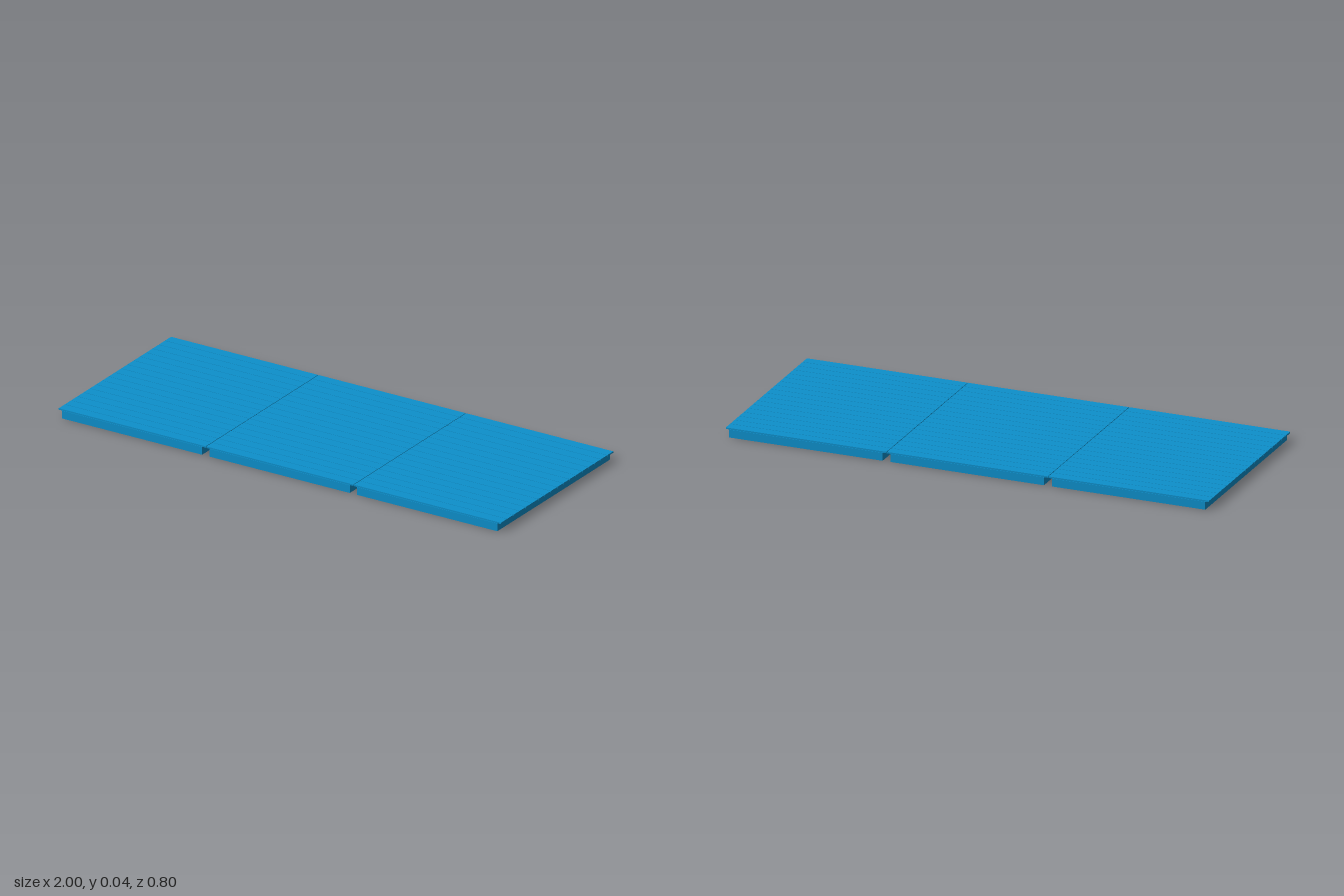
import * as THREE from 'three';

const blue = new THREE.MeshStandardMaterial({ color: 0x0d90cc, flatShading: true });

function box(parent, name, [w, h, d], [x, y, z]) {
  const mesh = new THREE.Mesh(new THREE.BoxGeometry(w, h, d), blue);
  mesh.name = name;
  mesh.position.set(x, y, z);
  parent.add(mesh);
}

export function createModel() {
  const model = new THREE.Group();
  model.name = 'slattedDeck';

  const panels = 3, pitchX = 0.6675, slatLength = 0.665;
  const frameW = 0.635, frameD = 0.8, frameH = 0.032, wall = 0.01;
  const slats = 18, slatGap = 0.0025, slatH = 0.006;
  const slatPitch = (0.796 + slatGap) / slats;

  for (let p = 0; p < panels; p++) {
    const panel = new THREE.Group();
    panel.name = 'panel' + (p + 1);
    panel.position.x = (p - (panels - 1) / 2) * pitchX;
    model.add(panel);

    // open rectangular frame of thin upright boards
    for (const s of [-1, 1]) {
      box(panel, s > 0 ? 'frontRail' : 'backRail',
        [frameW, frameH, wall], [0, frameH / 2, s * (frameD - wall) / 2]);
      box(panel, s > 0 ? 'leftRail' : 'rightRail',
        [wall, frameH, frameD - 2 * wall], [s * (frameW - wall) / 2, frameH / 2, 0]);
    }

    // narrow slats across the top, overhanging the frame at both ends
    for (let i = 0; i < slats; i++) {
      box(panel, 'slat' + (i + 1), [slatLength, slatH, slatPitch - slatGap],
        [0, frameH + slatH / 2, (i - (slats - 1) / 2) * slatPitch]);
    }
  }
  return model;
}
